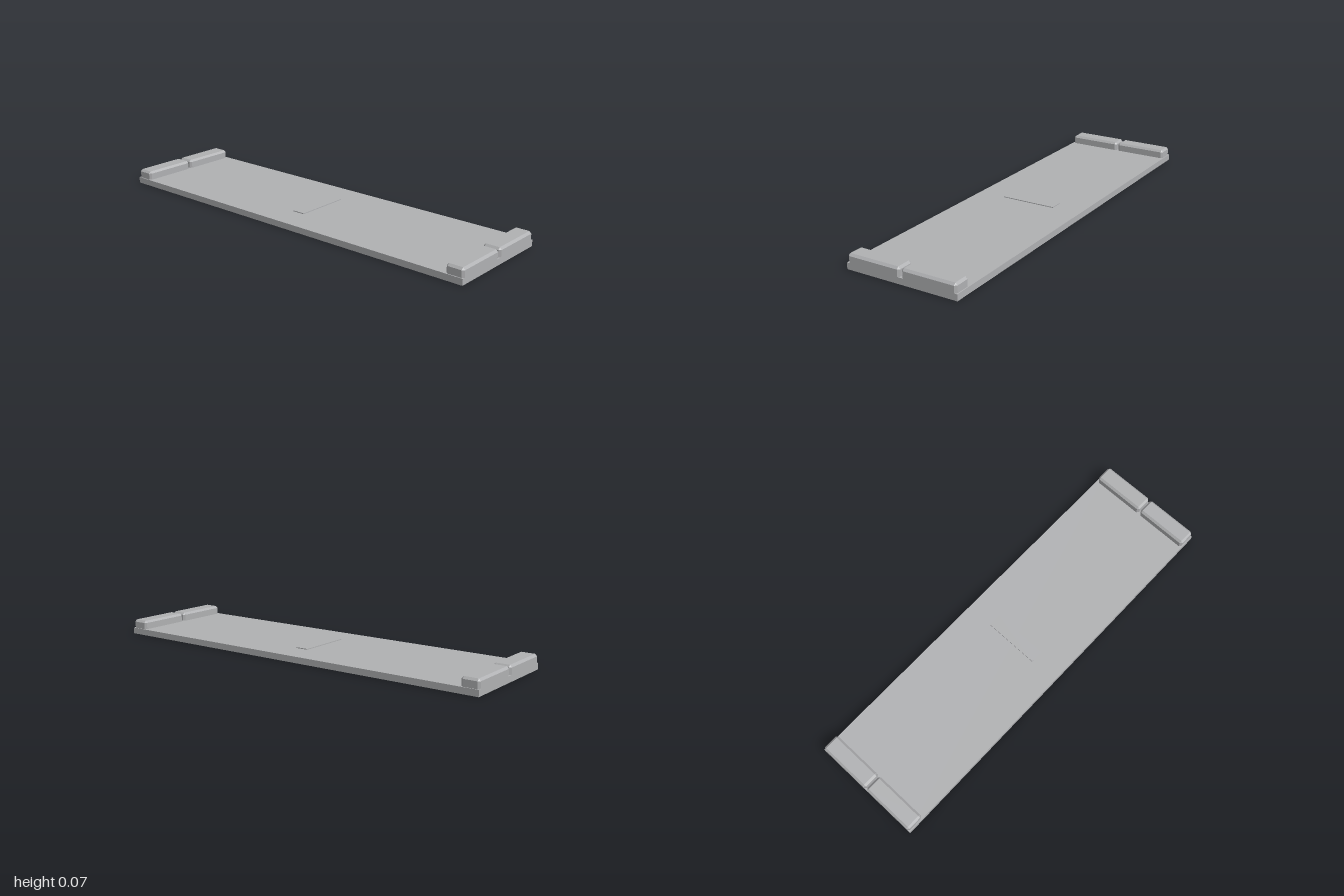
import * as THREE from 'three';
import { ConvexGeometry } from 'three/addons/geometries/ConvexGeometry.js';

const BASE_H = 0.03, DEPTH = 0.556;

// Block standing on y = 0 with chamfered top edges and upright corners
function chamferedBlock(w, h, d, c) {
  const points = [];
  for (const sx of [-1, 1]) for (const sz of [-1, 1]) {
    const x = sx * w / 2, z = sz * d / 2;
    const xi = x - sx * c, zi = z - sz * c;
    for (const y of [0, h - c]) {
      points.push(new THREE.Vector3(x, y, zi), new THREE.Vector3(xi, y, z));
    }
    points.push(new THREE.Vector3(xi, h, zi));
  }
  return new ConvexGeometry(points);
}

export function createModel() {
  const model = new THREE.Group();
  model.name = 'tile';
  const grey = new THREE.MeshStandardMaterial({ color: 0xb0b1b3 });
  grey.name = 'light grey';

  const add = (name, geometry, x, y, z) => {
    const mesh = new THREE.Mesh(geometry, grey);
    mesh.name = name;
    mesh.position.set(x, y, z);
    model.add(mesh);
  };

  // Flat slab
  add('baseSlab', new THREE.BoxGeometry(2, BASE_H, DEPTH), 0, BASE_H / 2, 0);

  // Thin raised plate in the middle
  add('centrePlate', new THREE.BoxGeometry(0.064, 0.004, 0.273), 0, BASE_H + 0.002, 0);

  // Two raised blocks along each end, flush with the slab's end faces
  const w = 0.086, d = 0.269;
  const block = chamferedBlock(w, 0.0425, d, 0.01);
  for (const sx of [-1, 1]) for (const sz of [-1, 1]) {
    const name = (sz > 0 ? 'front' : 'back') + (sx > 0 ? 'Left' : 'Right') + 'EndBlock';
    add(name, block, sx * (1 - w / 2), BASE_H, sz * (0.0045 + d / 2));
  }
  return model;
}
